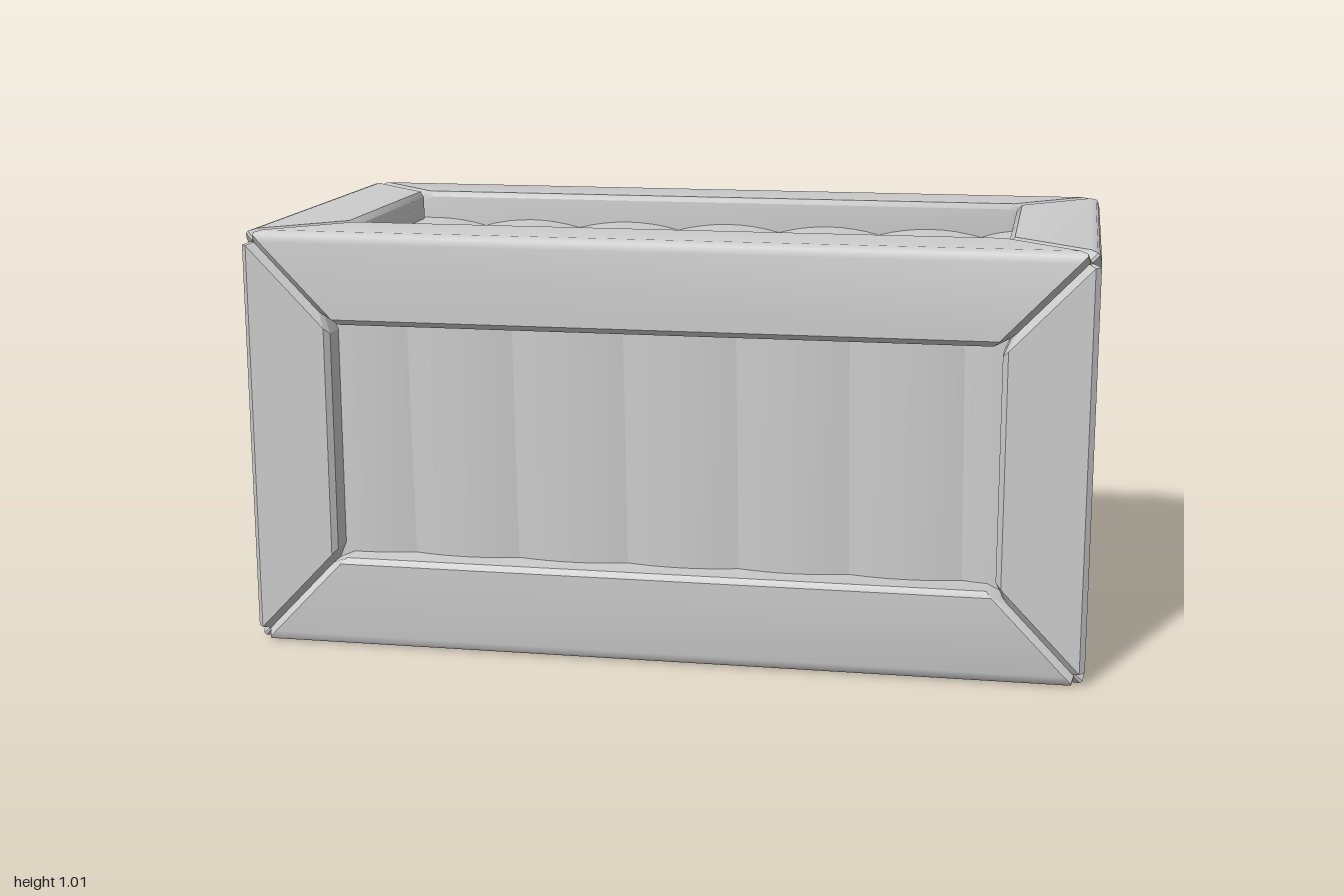
import * as THREE from 'three';
import { toCreasedNormals } from 'three/addons/utils/BufferGeometryUtils.js';

// half sizes, beam widths and centre height of the crate
const HALF = [1, 0.507, 0.505];
const WIDTH = [0.21, 0.22, 0.205];
const MID_Y = 0.508;
const RECESS = 0.07;

// beam cross-sections in beam widths, measured inward from the two outer faces
const section = (outerEdge) => [
  [0, 0.94], ...outerEdge, [0.94, 0],
  [1, 0.06], [1, 0.5], [0.5, 1], [0.06, 1],
];
const ROUND = section([[0, 0.12], [0.02, 0.045], [0.045, 0.02], [0.12, 0]]);
const CRISP = section([[0, 0.06], [0.06, 0]]);

// one mitred beam along axis k, at the edge given by the two signs
function beamGeometry(k, si, sj) {
  const i = (k + 1) % 3, j = (k + 2) % 3;
  const profile = k === 1 ? CRISP : ROUND;
  const n = profile.length;
  const pos = [], idx = [];
  const put = (a, b, c, end) => {
    const p = [0, 0, 0];
    p[i] = si * (HALF[i] - a * WIDTH[i]);
    p[j] = sj * (HALF[j] - b * WIDTH[j]);
    p[k] = end * (HALF[k] - c * WIDTH[k]);
    pos.push(p[0], p[1] + MID_Y, p[2]);
  };
  // rings: pinched mitre end, full section, full section, pinched mitre end
  for (const [end, pinched] of [[-1, true], [-1, false], [1, false], [1, true]]) {
    for (const [a, b] of profile) {
      if (pinched) {
        const pa = THREE.MathUtils.lerp(a, 0.5, 0.16);
        const pb = THREE.MathUtils.lerp(b, 0.5, 0.16);
        put(pa, pb, Math.max(pa, pb), end);
      } else put(a, b, Math.max(a, b) + 0.1, end);
    }
  }
  put(0.5, 0.5, 0.5, -1);
  put(0.5, 0.5, 0.5, 1);
  const tri = (a, b, c) => (si * sj > 0 ? idx.push(a, b, c) : idx.push(a, c, b));
  for (let p = 0; p < n; p++) {
    const q = (p + 1) % n;
    for (let r = 0; r < 3; r++) {
      tri(r * n + p, r * n + q, (r + 1) * n + q);
      tri(r * n + p, (r + 1) * n + q, (r + 1) * n + p);
    }
    tri(4 * n, q, p);
    tri(4 * n + 1, 3 * n + p, 3 * n + q);
  }
  const g = new THREE.BufferGeometry();
  g.setAttribute('position', new THREE.Float32BufferAttribute(pos, 3));
  g.setIndex(idx);
  return toCreasedNormals(g, k === 1 ? 0.3 : 0.65);
}

// gently arched board facing +z, with a slightly slanted seam
function plankGeometry(x0, x1, height) {
  const g = new THREE.PlaneGeometry(x1 - x0, height, 8, 1);
  const p = g.attributes.position;
  for (let v = 0; v < p.count; v++) {
    const u = (2 * p.getX(v)) / (x1 - x0);
    p.setZ(v, -0.018 * u ** 2);
    p.setX(v, p.getX(v) + (x0 + x1) / 2 - 0.012 * (p.getY(v) / height));
  }
  g.computeVertexNormals();
  return g;
}

export function createModel() {
  const model = new THREE.Group();
  model.name = 'crate';
  const grey = new THREE.MeshStandardMaterial({ color: 0xcccccc });
  grey.name = 'plain grey';

  // frame of twelve beams
  const frame = new THREE.Group();
  frame.name = 'frame';
  const names = ['longBeam', 'cornerPost', 'endBeam'];
  for (let k = 0; k < 3; k++) {
    for (const si of [-1, 1]) for (const sj of [-1, 1]) {
      const beam = new THREE.Mesh(beamGeometry(k, si, sj), grey);
      beam.name = names[k];
      frame.add(beam);
    }
  }
  model.add(frame);

  // recessed plank panels on all six sides
  const longSeams = [-0.89, -0.62, -0.362, -0.093, 0.176, 0.44, 0.705, 0.89];
  const endSeams = [-0.41, -0.12, 0.14, 0.41];
  const mirrored = (seams) => seams.map((s) => -s).reverse();
  function addPanel(name, seams, height, position, rotation) {
    const panel = new THREE.Group();
    panel.name = name;
    for (let s = 0; s < seams.length - 1; s++) {
      const plank = new THREE.Mesh(plankGeometry(seams[s], seams[s + 1], height), grey);
      plank.name = 'plank';
      panel.add(plank);
    }
    panel.position.set(...position);
    panel.rotation.set(...rotation);
    model.add(panel);
  }
  const [dx, dy, dz] = HALF.map((h) => h - RECESS);
  const q = Math.PI / 2;
  addPanel('frontPanel', longSeams, 0.82, [0, MID_Y, dz], [0, 0, 0]);
  addPanel('backPanel', mirrored(longSeams), 0.82, [0, MID_Y, -dz], [0, Math.PI, 0]);
  addPanel('topPanel', longSeams, 0.82, [0, MID_Y + dy, 0], [-q, 0, 0]);
  addPanel('bottomPanel', longSeams, 0.82, [0, MID_Y - dy, 0], [q, 0, 0]);
  addPanel('leftPanel', endSeams, 0.82, [dx, MID_Y, 0], [0, q, 0]);
  addPanel('rightPanel', mirrored(endSeams), 0.82, [-dx, MID_Y, 0], [0, -q, 0]);
  return model;
}
